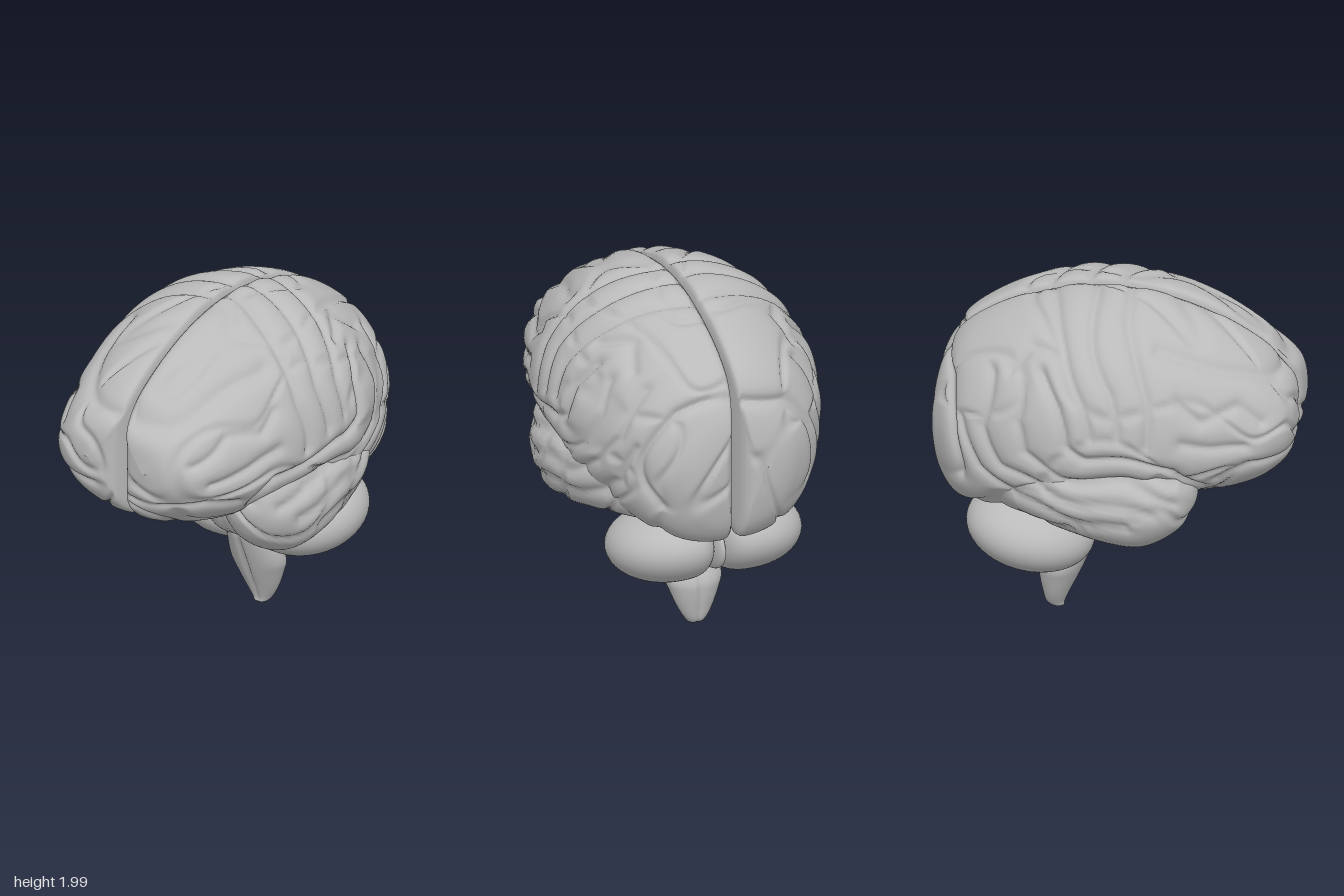
import * as THREE from 'three';

const grey = new THREE.MeshStandardMaterial({ color: 0xbababa });
grey.name = 'grey tissue';

// Sulci on the side of a hemisphere, as [z, y] points
const sulci = [
  [[.48, 1.04], [.40, 1.18], [.15, 1.23], [-.1, 1.26], [-.22, 1.34], [-.28, 1.54], [-.37, 1.67]],
  [[.36, 1.0], [.15, 1.09], [-.2, 1.12], [-.42, 1.24], [-.5, 1.42], [-.48, 1.6]],
  [[.25, .93], [0, .98], [-.3, 1.02], [-.55, 1.15], [-.66, 1.36], [-.66, 1.64]],
  [[.1, .83], [-.2, .88], [-.5, .95], [-.7, 1.1], [-.78, 1.34]],
  [[-.91, 1.58], [-.86, 1.53], [-.83, 1.3], [-.84, .98]],
  [[.05, 1.36], [.02, 1.6], [-.08, 1.82], [-.15, 2]],
  [[.22, 1.32], [.2, 1.58], [.13, 1.8], [.04, 2]],
  [[-.1, 1.38], [-.14, 1.58], [-.24, 1.78], [-.36, 1.95]],
  [[.86, 1.4], [.7, 1.5], [.5, 1.46], [.36, 1.58]],
  [[.78, 1.28], [.6, 1.3], [.42, 1.36]],
  [[.92, 1.56], [.7, 1.64], [.45, 1.74], [.25, 1.78]],
  [[.96, 1.14], [.78, 1.16], [.58, 1.08]],
  [[-.3, 1.76], [-.44, 1.78], [-.56, 1.68]],
];

function lineDistance(z, y, line) {
  let best = 9;
  for (let i = 1; i < line.length; i++) {
    const [az, ay] = line[i - 1], dz = line[i][0] - az, dy = line[i][1] - ay;
    const t = THREE.MathUtils.clamp(((z - az) * dz + (y - ay) * dy) / (dz * dz + dy * dy), 0, 1);
    best = Math.min(best, Math.hypot(z - az - dz * t, y - ay - dy * t));
  }
  return best;
}

// How far the surface lies below the gyrus crowns at a point
function foldDepth(x, y, z, seed) {
  const wz = z + .03 * Math.sin(10 * y + 9 * x + seed), wy = y + .018 * Math.sin(12 * z + 6 * x + seed * 2);
  let depth = 0;
  sulci.forEach((line, i) => {
    const d = lineDistance(wz, wy, line), k = i === 0 || i === 4 ? .042 : .03;
    depth = Math.max(depth, k * (.55 * Math.exp(-((d / .02) ** 2)) + .45 * Math.exp(-((d / .05) ** 2))));
  });
  // Winding secondary folds
  const f = Math.sin(8 * x + 2.2 * Math.sin(5 * y + seed) + seed) + Math.sin(7 * z + 2 * Math.sin(6 * x + 3 * y + seed)) * .9
    + .5 * Math.sin(9 * y + 4 * z);
  return Math.max(depth, .02 * Math.exp(-((f / .28) ** 2)));
}

// Closed rings swept along u; point(u, v) gives [x, y, z]
function loft(point, nu, nv, side = 1) {
  const pos = [], index = [];
  for (let i = 0; i <= nu; i++) for (let j = 0; j < nv; j++) {
    const [x, y, z] = point(i / nu, j / nv);
    pos.push(x * side, y, z);
    if (i === nu) continue;
    const a = i * nv + j, b = i * nv + (j + 1) % nv, c = a + nv, d = b + nv;
    if (side > 0) index.push(a, b, c, b, d, c);
    else index.push(a, c, b, b, c, d);
  }
  const g = new THREE.BufferGeometry();
  g.setAttribute('position', new THREE.Float32BufferAttribute(pos, 3));
  g.setIndex(index);
  g.computeVertexNormals();
  // The end rings are single points facing along the sweep
  const n = g.attributes.normal;
  for (const start of [0, nu * nv]) {
    const sum = new THREE.Vector3();
    for (let j = 0; j < nv; j++) sum.add(new THREE.Vector3().fromBufferAttribute(n, start + j));
    sum.normalize();
    for (let j = 0; j < nv; j++) n.setXYZ(start + j, sum.x, sum.y, sum.z);
  }
  return g;
}

// Smooth interpolation between the rows of a section table
function rowSampler(rows) {
  const curve = (a) => new THREE.CatmullRomCurve3(
    rows.map((r) => new THREE.Vector3(r[a] ?? 0, r[a + 1] ?? 0, r[a + 2] ?? 0)), false, 'catmullrom', .5);
  const p = curve(0), q = curve(3);
  return (u) => [...p.getPoint(u).toArray(), ...q.getPoint(u).toArray()];
}

// Press the sulci into an outer surface, leaving the medial wall flat
function carve(g, side, seed) {
  const p = g.attributes.position, n = g.attributes.normal;
  for (let i = 0; i < p.count; i++) {
    const x = p.getX(i), y = p.getY(i), z = p.getZ(i);
    const mask = THREE.MathUtils.smoothstep(n.getX(i) * side, -.75, -.1);
    const d = (.011 - foldDepth(x * side, y, z, seed)) * mask;
    p.setXYZ(i, x + n.getX(i) * d, y + n.getY(i) * d, z + n.getZ(i) * d);
  }
  g.computeVertexNormals();
  return g;
}

// Hemisphere sections: z, top, bottom, outer x, inner x, widest y
const hemisphere = rowSampler([
  [.993, 1.32, 1.32, .18, .18, 1.32], [.965, 1.49, 1.13, .34, .06, 1.3], [.89, 1.6, 1.02, .445, .025, 1.29],
  [.75, 1.72, .93, .54, .014, 1.27], [.5, 1.86, .87, .635, .014, 1.26], [.25, 1.945, .87, .695, .014, 1.28],
  [0, 1.98, .85, .73, .014, 1.3], [-.25, 1.965, .82, .73, .014, 1.29], [-.5, 1.895, .78, .665, .014, 1.26],
  [-.7, 1.8, .74, .575, .014, 1.24], [-.85, 1.68, .73, .48, .018, 1.22], [-.94, 1.51, .82, .36, .035, 1.2],
  [-.98, 1.36, .98, .27, .07, 1.19], [-.993, 1.18, 1.18, .15, .15, 1.18],
]);
function hemispherePoint(u, v) {
  const [z, top, bottom, outer, inner, mid] = hemisphere(u);
  const turn = .86;
  const edge = .02 * Math.min(1, (top - bottom) * 2);
  if (v < turn) {
    const a = Math.PI * (.5 - v / turn), c = Math.max(0, Math.cos(a)), s = Math.sin(a);
    // The lower flank is fuller towards the back
    const full = s < 0 ? THREE.MathUtils.smoothstep(-z, -.1, .3) * THREE.MathUtils.smoothstep(z, -1, -.7) : 0;
    const x = inner + Math.max(0, outer - inner) * c ** (1 - .45 * full);
    const y = mid + s * (s > 0 ? top - mid : mid - bottom);
    return [x, y - Math.sign(s) * edge * Math.exp(-(x - inner) / .025), z];
  }
  const t = (v - turn) / (1 - turn);
  return [inner, THREE.MathUtils.lerp(bottom + edge, top - edge, t), z];
}

// Temporal lobe sections: z, centre x, centre y, half width, half height
const temporal = rowSampler([
  [.485, .45, 1.02, 0, 0], [.46, .45, 1.0, .11, .115], [.38, .46, .97, .195, .21], [.2, .46, .93, .26, .275],
  [0, .47, .95, .27, .28], [-.25, .46, .99, .255, .25], [-.45, .42, 1.0, .215, .215], [-.62, .36, 1.0, .14, .17],
  [-.75, .3, 1.0, 0, 0],
]);
function temporalPoint(u, v) {
  const [z, cx, cy, rx, ry] = temporal(u), a = Math.PI * (.5 - 2 * v);
  return [cx + rx * Math.cos(a), cy + ry * Math.sin(a), z];
}

// Cerebellar lobe: a globe squared off at the midline and tilted up at the back
function cerebellarLobe(side) {
  const g = new THREE.SphereGeometry(1, 56, 40), p = g.attributes.position;
  for (let i = 0; i < p.count; i++) {
    const x = p.getX(i) * side, inward = Math.min(1, Math.max(0, -x));
    const k = Math.cbrt(1 - inward ** 3) / Math.sqrt(Math.max(1e-6, 1 - inward * inward));
    const z = p.getZ(i) * .35 * k;
    p.setXYZ(i, side * (.215 + x * (x > 0 ? .335 : .205)), .57 + p.getY(i) * .215 * k - .13 * z, z - .46);
  }
  g.computeVertexNormals();
  return g;
}

// Upright stem with a groove along the middle; rows: y, centre z, half width, half depth
function stem(rows, groove) {
  const at = rowSampler(rows);
  return loft((u, v) => {
    const [y, cz, rx, rz] = at(u), a = v * Math.PI * 2, x = rx * Math.cos(a);
    return [x, y, cz + Math.sin(a) * rz * (1 - groove * Math.exp(-((x / .014) ** 2)))];
  }, 36, 56);
}

export function createModel() {
  const root = new THREE.Group();
  root.name = 'brain';
  const add = (name, geometry) => {
    const m = new THREE.Mesh(geometry, grey);
    m.name = name;
    root.add(m);
    return m;
  };
  const ellipsoid = (name, x, y, z, rx, ry, rz, n = 28) => {
    const m = add(name, new THREE.SphereGeometry(1, n, Math.round(n * .7)));
    m.position.set(x, y, z);
    m.scale.set(rx, ry, rz);
  };

  for (const [side, word, seed] of [[1, 'left', .6], [-1, 'right', 2.7]]) {
    add(word + 'Hemisphere', carve(loft(hemispherePoint, 180, 120, side), side, seed));
    add(word + 'TemporalLobe', carve(loft(temporalPoint, 96, 60, side), side, seed));
    add(word + 'Cerebellum', cerebellarLobe(side));
    ellipsoid(word + 'NerveRoot', side * .185, .66, -.11, .022, .04, .025, 16);
    ellipsoid(word + 'MammillaryBody', side * .02, .82, .1, .022, .025, .025, 16);
    // Optic tract running back from the chiasm
    add(word + 'OpticTract', new THREE.TubeGeometry(new THREE.CatmullRomCurve3([
      new THREE.Vector3(side * .06, .87, .32), new THREE.Vector3(0, .86, .22),
      new THREE.Vector3(side * .12, .86, .08), new THREE.Vector3(side * .22, .88, -.05)]), 20, .022, 10));
  }

  // Core joining the two halves
  ellipsoid('corpusCallosum', 0, 1.17, -.08, .06, .2, .5);
  ellipsoid('betweenBrain', 0, .95, -.12, .26, .17, .3);
  ellipsoid('vermis', 0, .58, -.45, .05, .17, .31);

  // Brain stem
  add('pons', stem([[.95, -.15, .16, .15], [.85, -.14, .14, .14], [.77, -.15, .18, .18], [.67, -.15, .195, .2],
    [.56, -.17, .18, .17], [.5, -.19, .15, .12], [.475, -.2, .1, .07], [.47, -.2, 0, 0]], .06));
  add('medulla', stem([[.7, -.18, .11, .1], [.5, -.2, .11, .1], [.4, -.25, .14, .115], [.28, -.31, .163, .125],
    [.2, -.33, .14, .11], [.1, -.345, .1, .078], [.03, -.35, .06, .055], [.002, -.335, .035, .035], [0, -.335, 0, 0]], .16));

  // Pituitary gland on its stalk
  ellipsoid('pituitaryGland', 0, .76, .17, .042, .04, .042, 20);
  const stalk = add('pituitaryStalk', new THREE.CylinderGeometry(.018, .014, .14, 12));
  stalk.position.set(0, .84, .16);
  return root;
}
